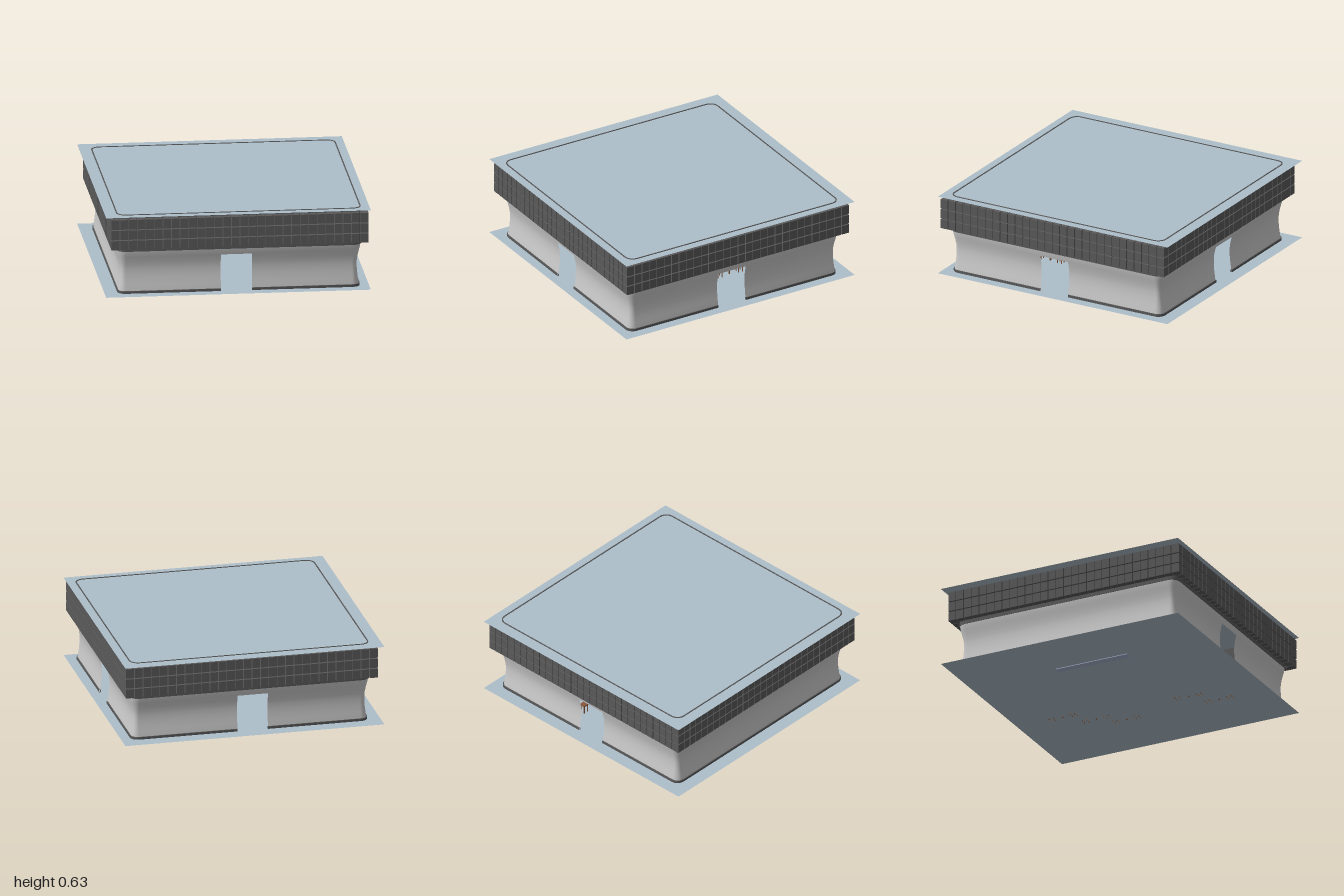
import * as THREE from 'three';
import { mergeGeometries, toCreasedNormals } from 'three/addons/utils/BufferGeometryUtils.js';

const CENTRE = 0.013;   // the walls sit slightly off the slabs' centre
const HALF = 0.915;     // half width of the wall ring
const RADIUS = 0.06;    // corner radius of the ring
const DOOR_TOP = 0.3;
// doorway limits along the sides +x, +z, -x, -z
const DOORS = [[-0.103, 0.137], [-0.097, 0.138], null, [-0.138, 0.097]];

const paint = (color) => new THREE.MeshStandardMaterial({ color, side: THREE.DoubleSide });
const slabPaint = paint(0xaebfca);
const wallPaint = paint(0xcccccc);
const darkPaint = paint(0x5a5a5a);
const woodPaint = paint(0x8a5a3c);
const bluePaint = paint(0xaab4d0);

function addMesh(parent, name, geometry, material, x = 0, y = 0, z = 0) {
  const mesh = new THREE.Mesh(geometry, material);
  mesh.name = name;
  mesh.position.set(x, y, z);
  parent.add(mesh);
  return mesh;
}

// Plan of the rounded square: base point, outward normal, start of a doorway
function ringPlan() {
  const plan = [];
  const c = HALF - RADIUS;
  for (let k = 0; k < 4; k++) {
    const a = k * Math.PI / 2;
    const n = [Math.cos(a), Math.sin(a)], t = [-n[1], n[0]];
    if (DOORS[k]) DOORS[k].forEach((s, i) => plan.push({
      x: n[0] * c + t[0] * s, z: n[1] * c + t[1] * s, nx: n[0], nz: n[1], door: i === 0
    }));
    for (let i = 0; i <= 6; i++) {
      const b = a + i * Math.PI / 12;
      plan.push({
        x: (n[0] + t[0]) * c, z: (n[1] + t[1]) * c, nx: Math.cos(b), nz: Math.sin(b), door: false
      });
    }
  }
  return plan;
}

// Sweep a profile of [offset, y] points round the plan, leaving the doorways open
function sweepRing(profile) {
  const plan = ringPlan(), rows = profile.length, positions = [], index = [];
  for (const p of plan) {
    for (const [o, y] of profile) {
      positions.push(p.x + p.nx * (RADIUS + o), y, p.z + p.nz * (RADIUS + o));
    }
  }
  plan.forEach((p, i) => {
    const next = (i + 1) % plan.length;
    for (let j = 0; j < rows - 1; j++) {
      const mid = (profile[j][1] + profile[j + 1][1]) / 2;
      if (p.door && mid < DOOR_TOP) continue;
      const a = i * rows + j, b = next * rows + j;
      index.push(a, a + 1, b, b, a + 1, b + 1);
    }
  });
  const g = new THREE.BufferGeometry();
  g.setAttribute('position', new THREE.Float32BufferAttribute(positions, 3));
  g.setIndex(index);
  return toCreasedNormals(g, 0.6);
}

// Closed rectangular band between two offsets and two heights
const band = (inner, outer, y0, y1) =>
  sweepRing([[inner, y0], [outer, y0], [outer, y1], [inner, y1], [inner, y0]]);

// One course of cladding tiles on all four sides
function tileCourse(y0, y1) {
  const count = 30, half = 0.972, step = 2 * half / count, depth = 0.05;
  const tiles = [];
  for (let side = 0; side < 4; side++) {
    for (let i = 0; i < count; i++) {
      const tile = new THREE.BoxGeometry(step - 0.006, y1 - y0, depth);
      tile.translate(-half + (i + 0.5) * step, (y0 + y1) / 2, half - depth / 2);
      tile.rotateY(side * Math.PI / 2);
      tiles.push(tile);
    }
  }
  return mergeGeometries(tiles);
}

// Square pedestal table whose foot passes through the floor
function makeTable(x, z) {
  const table = new THREE.Group();
  table.name = 'table';
  table.position.set(x, 0, z);
  addMesh(table, 'tableTop', new THREE.BoxGeometry(0.11, 0.012, 0.11), woodPaint, 0, 0.134, 0);
  addMesh(table, 'tablePost', new THREE.CylinderGeometry(0.006, 0.006, 0.13, 8), woodPaint, 0, 0.065, 0);
  for (const s of [-1, 1]) {
    addMesh(table, 'stoolSeat', new THREE.BoxGeometry(0.045, 0.01, 0.045), woodPaint, 0, 0.075, s * 0.09);
    for (const lx of [-0.018, 0.018]) for (const lz of [-0.018, 0.018]) {
      addMesh(table, 'stoolLeg', new THREE.BoxGeometry(0.006, 0.072, 0.006), woodPaint, lx, 0.036, s * 0.09 + lz);
    }
  }
  return table;
}

export function createModel() {
  const model = new THREE.Group();
  model.name = 'pavilion';

  // Floor and roof sheets
  for (const [name, y] of [['floor', 0.01], ['roof', 0.631]]) {
    const sheet = new THREE.PlaneGeometry(2, 2).rotateX(-Math.PI / 2);
    addMesh(model, name, sheet, slabPaint, 0, y, 0);
  }

  const ring = new THREE.Group();
  ring.name = 'walls';
  ring.position.set(CENTRE, 0, CENTRE);
  model.add(ring);

  // Lower wall: waisted profile flaring towards the cladding
  addMesh(ring, 'lowerWall', sweepRing([
    [-0.005, 0.015], [-0.007, 0.04], [-0.013, 0.08], [-0.018, 0.12], [-0.021, 0.16], [-0.021, 0.2],
    [-0.018, 0.23], [-0.011, 0.265], [-0.002, DOOR_TOP], [0.005, 0.325], [0.009, 0.35]
  ]), wallPaint);

  // Dark skirting, ledge and the thin upper wall that just breaks through the roof
  addMesh(ring, 'skirting', band(-0.012, 0.001, 0.015, 0.034), darkPaint);
  addMesh(ring, 'ledge', band(-0.01, 0.011, 0.346, 0.375), darkPaint);
  addMesh(ring, 'upperWall', band(0.0, 0.009, 0.375, 0.635), darkPaint);

  // Three courses of projecting tiles
  for (const [y0, y1] of [[0.375, 0.446], [0.454, 0.526], [0.534, 0.608]]) {
    addMesh(ring, 'tileCourse', tileCourse(y0, y1), darkPaint);
  }

  // Furniture inside
  addMesh(model, 'counter', new THREE.BoxGeometry(0.06, 0.115, 0.6), bluePaint, -0.5, 0.0625, 0.03);
  for (const [x, z] of [[0.25, -0.61], [0.39, -0.4], [0.5, -0.2], [0.35, 0.4], [0.5, 0.58]]) {
    model.add(makeTable(x, z));
  }
  return model;
}
